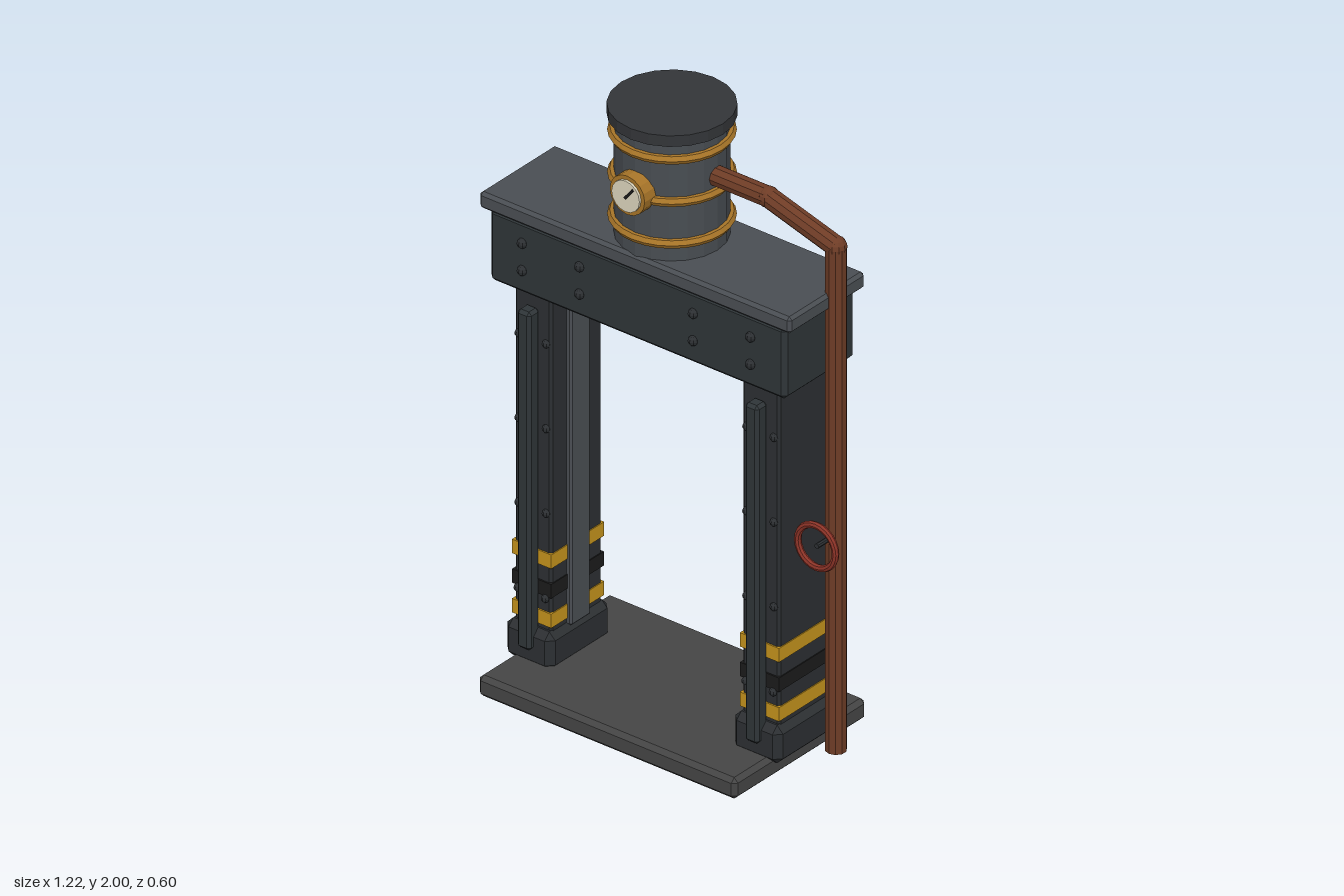
import * as THREE from 'three';
import { ConvexGeometry } from 'three/addons/geometries/ConvexGeometry.js';

const mat = (color) => new THREE.MeshStandardMaterial({ color, flatShading: true });
const M = {
  base: mat(0x454545), iron: mat(0x2c2f32), beam: mat(0x2f3538), plate: mat(0x4a4e53),
  tank: mat(0x484d52), cap: mat(0x333538), brass: mat(0xa87528), yellow: mat(0xc4931c),
  black: mat(0x1b1b1b), copper: mat(0x6e3c26), red: mat(0x8c3327), dial: mat(0xdcd5bd),
};
const CX = -0.043; // axis the frame is mirrored about

// Box with chamfered edges: the hull of its six inset faces
function chamferBox(w, h, d, c) {
  const points = [];
  for (const x of [-1, 1]) for (const y of [-1, 1]) for (const z of [-1, 1]) {
    const a = w / 2, b = h / 2, e = d / 2;
    points.push(
      new THREE.Vector3(x * a, y * (b - c), z * (e - c)),
      new THREE.Vector3(x * (a - c), y * b, z * (e - c)),
      new THREE.Vector3(x * (a - c), y * (b - c), z * e));
  }
  return new ConvexGeometry(points);
}

function add(parent, name, geometry, material, x = 0, y = 0, z = 0) {
  const mesh = new THREE.Mesh(geometry, material);
  mesh.name = name;
  mesh.position.set(x, y, z);
  parent.add(mesh);
  return mesh;
}

function group(parent, name, x = 0) {
  const g = new THREE.Group();
  g.name = name;
  g.position.x = x;
  parent.add(g);
  return g;
}

// Leg centred on x = 0; inward is the sign of x pointing to the opening
function buildLeg(g, inward) {
  add(g, 'foot', chamferBox(0.175, 0.125, 0.28, 0.022), M.iron, 0, 0.113, 0.003);
  add(g, 'post', chamferBox(0.136, 1.2, 0.23, 0.008), M.iron, 0, 0.7, 0);
  add(g, 'frontRail', chamferBox(0.05, 1.118, 0.05, 0.01), M.beam, 0, 0.669, 0.136);
  add(g, 'innerRail', chamferBox(0.04, 1.13, 0.09, 0.006), M.plate, inward * 0.064, 0.73, 0);
  [[0.212, M.yellow], [0.31, M.black], [0.408, M.yellow]].forEach(([y, m]) =>
    add(g, 'hazardBand', new THREE.BoxGeometry(0.143, 0.046, 0.24), m, 0, y, 0));
  const rivet = new THREE.SphereGeometry(0.013, 8, 6);
  for (const y of [0.28, 0.56, 0.84, 1.12]) for (const x of [-0.05, 0.05])
    add(g, 'legRivet', rivet, M.iron, x, y, y < 0.3 ? 0.12 : 0.116);
}

export function createModel() {
  const model = new THREE.Group();
  model.name = 'pressFrame';

  add(model, 'basePlate', chamferBox(0.945, 0.07, 0.6, 0.014), M.base, CX, 0.035, 0);
  for (const s of [-1, 1])
    buildLeg(group(model, s > 0 ? 'leftLeg' : 'rightLeg', CX + s * 0.417), -s);

  // Cross beam with rivets and the plate on top
  const head = group(model, 'crossBeam', CX);
  add(head, 'beam', chamferBox(1.084, 0.24, 0.32, 0.014), M.beam, 0, 1.405, 0);
  add(head, 'topPlate', chamferBox(1.14, 0.055, 0.344, 0.01), M.plate, 0, 1.547, 0);
  const rivet = new THREE.SphereGeometry(0.016, 8, 6);
  for (const x of [-0.418, -0.208, 0.208, 0.418]) for (const y of [1.365, 1.455])
    add(head, 'beamRivet', rivet, M.iron, x, y, 0.162);

  // Tank with brass hoops
  const tank = group(model, 'tank', CX);
  add(tank, 'tankBody', new THREE.CylinderGeometry(0.167, 0.167, 0.41, 20), M.tank, 0, 1.77, 0);
  add(tank, 'tankCap', new THREE.CylinderGeometry(0.187, 0.187, 0.036, 20), M.cap, 0, 1.982, 0);
  for (const y of [1.635, 1.773, 1.913])
    add(tank, 'hoop', new THREE.TorusGeometry(0.17, 0.015, 6, 28), M.brass, 0, y, 0).rotation.x = Math.PI / 2;

  // Pressure gauge
  const gauge = group(model, 'gauge', CX);
  add(gauge, 'gaugeCase', new THREE.CylinderGeometry(0.064, 0.064, 0.06, 16), M.brass, 0, 1.787, 0.173).rotation.x = Math.PI / 2;
  add(gauge, 'gaugeDial', new THREE.CylinderGeometry(0.051, 0.051, 0.014, 16), M.dial, 0, 1.787, 0.204).rotation.x = Math.PI / 2;
  add(gauge, 'needle', new THREE.BoxGeometry(0.008, 0.046, 0.006), M.black, 0.014, 1.8, 0.213).rotation.z = -0.67;

  // Pipe from the tank down the outside of the left leg
  const pipe = group(model, 'pipe');
  const path = [[0.09, 1.82, 0], [0.31, 1.82, 0], [0.53, 1.722, -0.034], [0.53, 0.058, -0.034]]
    .map((p) => new THREE.Vector3(...p));
  for (let i = 0; i < path.length - 1; i++) {
    const dir = path[i + 1].clone().sub(path[i]);
    const mid = path[i].clone().addScaledVector(dir, 0.5);
    add(pipe, 'pipeSection', new THREE.CylinderGeometry(0.032, 0.032, dir.length(), 10), M.copper, mid.x, mid.y, mid.z)
      .quaternion.setFromUnitVectors(new THREE.Vector3(0, 1, 0), dir.normalize());
    if (i > 0)
      add(pipe, 'pipeElbow', new THREE.SphereGeometry(0.033, 10, 8), M.copper, path[i].x, path[i].y, path[i].z);
  }

  // Valve wheel on its stem
  const valve = group(model, 'valve', 0.53);
  add(valve, 'valveWheel', new THREE.TorusGeometry(0.069, 0.011, 8, 24), M.red, 0, 0.77, 0.054);
  add(valve, 'valveStem', new THREE.CylinderGeometry(0.008, 0.008, 0.075, 8), M.iron, 0, 0.77, 0.017).rotation.x = Math.PI / 2;
  return model;
}
